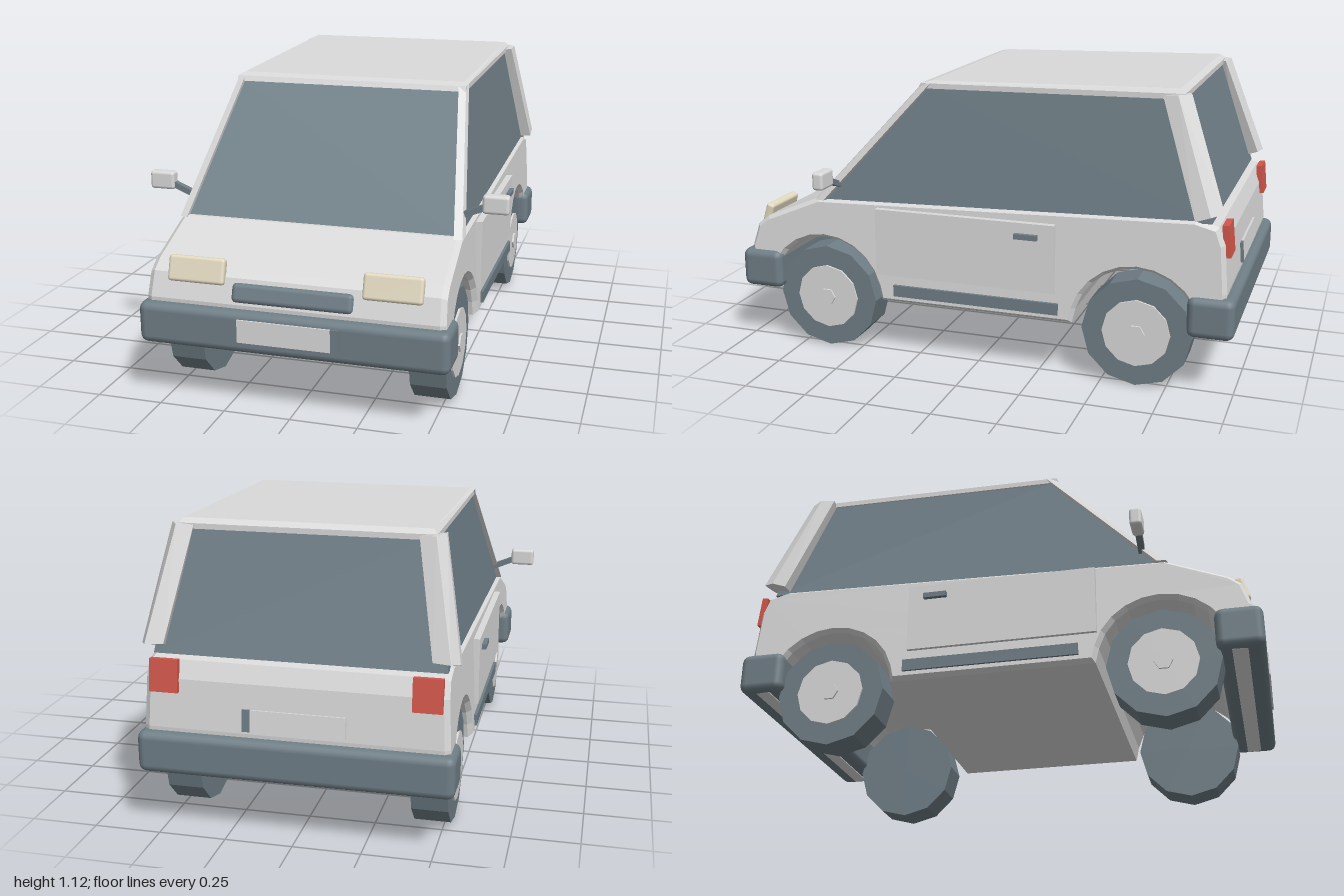
import * as THREE from 'three';
import { RoundedBoxGeometry } from 'three/addons/geometries/RoundedBoxGeometry.js';
import { ConvexGeometry } from 'three/addons/geometries/ConvexGeometry.js';

export function createModel() {
  const car = new THREE.Group();
  car.name = 'hatchback';
  const material = (name, color) => {
    const m = new THREE.MeshStandardMaterial({ color });
    m.name = name;
    return m;
  };
  const paint = material('light grey paint', 0xdadada);
  const dark = material('slate trim and glass', 0x6f7e86);
  const cream = material('cream lamp', 0xe2d9c0);
  const red = material('red lamp', 0xd4584c);

  const add = (name, geo, mat, x = 0, y = 0, z = 0, rx = 0) => {
    const mesh = new THREE.Mesh(geo, mat);
    mesh.name = name;
    mesh.position.set(x, y, z);
    mesh.rotation.x = rx;
    car.add(mesh);
    return mesh;
  };
  const box = (w, h, d) => new THREE.BoxGeometry(w, h, d);
  const soft = (w, h, d, r) => new RoundedBoxGeometry(w, h, d, 2, r);
  const hull = (pts) => new ConvexGeometry(pts.map((p) => new THREE.Vector3(...p)));
  const mirrored = (pts) => pts.flatMap(([x, y, z]) => [[x, y, z], [-x, y, z]]);

  // Lower body: side profile with wheel arches cut through the full width
  const arch = (zc) => {
    const pts = [[zc - 0.245, 0.225]];
    for (let i = 1; i < 12; i++) {
      const a = Math.PI - (i / 12) * Math.PI;
      pts.push([zc + 0.24 * Math.cos(a), 0.22 + 0.24 * Math.sin(a)]);
    }
    pts.push([zc + 0.245, 0.225]);
    return pts;
  };
  const profile = [
    ...arch(-0.635), ...arch(0.635),
    [0.95, 0.23], [0.965, 0.4], [0.935, 0.49], [0.89, 0.525], [0.66, 0.62],
    [-0.84, 0.667], [-0.925, 0.645], [-0.95, 0.58], [-0.965, 0.4], [-0.95, 0.23],
  ];
  const shape = new THREE.Shape(profile.map(([z, y]) => new THREE.Vector2(z, y)));
  const body = new THREE.ExtrudeGeometry(shape, {
    depth: 1.08, bevelEnabled: true, bevelSegments: 1,
    bevelSize: 0.015, bevelThickness: 0.02, bevelOffset: -0.015,
  });
  body.translate(0, 0, -0.54);
  body.rotateY(-Math.PI / 2);
  // Sides lean in gently towards the beltline
  const pos = body.attributes.position;
  for (let i = 0; i < pos.count; i++) {
    pos.setX(i, pos.getX(i) * (1 - 0.08 * (pos.getY(i) - 0.23)));
  }
  body.computeVertexNormals();
  add('body', body, paint);

  // Glasshouse and roof
  add('windows', hull(mirrored([
    [0.53, 0.61, 0.655], [0.53, 0.655, -0.9], [0.455, 1.08, 0.225], [0.455, 1.1, -0.765],
  ])), dark);
  add('roof', hull(mirrored([
    [0.465, 1.07, 0.25], [0.465, 1.085, -0.775], [0.465, 1.09, 0.24], [0.465, 1.105, -0.775],
    [0.45, 1.1, 0.2], [0.45, 1.122, -0.755],
  ])), paint);

  // Bumpers
  for (const s of [1, -1]) {
    add(s > 0 ? 'frontBumper' : 'rearBumper', soft(1.15, 0.157, 0.175, 0.03), dark, 0, 0.3075, s * 0.912);
  }

  // Grille and number plates, each with a dark end strip
  add('grille', soft(0.45, 0.072, 0.04, 0.018), dark, 0, 0.44, 0.945, -0.3);
  add('frontPlate', box(0.345, 0.085, 0.008), paint, -0.0175, 0.3175, 1.001);
  add('frontPlateStrip', box(0.03, 0.085, 0.008), dark, 0.17, 0.3175, 1.001);
  add('rearPlate', box(0.345, 0.08, 0.009), paint, -0.0175, 0.45, -0.965, 0.083);
  add('rearPlateStrip', box(0.03, 0.08, 0.009), dark, 0.17, 0.45, -0.965, 0.083);

  for (const s of [1, -1]) {
    const side = s > 0 ? 'left' : 'right';
    const flip = (pts) => hull(pts.map(([x, y, z]) => [s * x, y, z]));

    // Roof pillars
    add(side + 'FrontPillar', flip([
      [0.515, 0.615, 0.675], [0.545, 0.615, 0.665], [0.55, 0.615, 0.63], [0.515, 0.615, 0.62],
      [0.435, 1.09, 0.24], [0.462, 1.09, 0.23], [0.468, 1.09, 0.2], [0.435, 1.09, 0.19],
    ]), paint);
    add(side + 'RearPillar', flip([
      [0.5, 0.665, -0.84], [0.572, 0.67, -0.845], [0.572, 0.69, -0.9], [0.545, 0.7, -0.945], [0.48, 0.7, -0.93],
      [0.43, 1.09, -0.7], [0.49, 1.1, -0.7], [0.495, 1.105, -0.755], [0.465, 1.105, -0.8], [0.405, 1.1, -0.785],
    ]), paint);

    // Lamps
    add(side + 'Headlight', soft(0.215, 0.095, 0.035, 0.012), cream, s * 0.3625, 0.507, 0.932, -0.3);
    add(side + 'TailLight', box(0.105, 0.12, 0.025), red, s * 0.472, 0.592, -0.953, 0.1);

    // Door, handle and sill strip
    add(side + 'Door', box(0.025, 0.265, 0.725), paint, s * 0.557, 0.4725, 0.0375);
    add(side + 'DoorHandle', box(0.02, 0.02, 0.09), dark, s * 0.577, 0.555, -0.217);
    add(side + 'SillStrip', box(0.025, 0.045, 0.67), dark, s * 0.556, 0.278, -0.005);

    // Door mirror
    add(side + 'Mirror', soft(0.098, 0.07, 0.045, 0.012), paint, s * 0.649, 0.73, 0.575);
    const arm = add(side + 'MirrorArm', box(0.11, 0.022, 0.025), dark, s * 0.565, 0.698, 0.575);
    arm.rotation.z = s * 0.4;

    // Twelve-sided wheels with pale hubs
    for (const [end, z] of [['Front', 0.635], ['Rear', -0.635]]) {
      const disc = (name, r, w, n, mat, x) => {
        let geo = new THREE.CylinderGeometry(r, r, w, n).toNonIndexed();
        geo.computeVertexNormals();
        geo.rotateZ(Math.PI / 2);
        add(side + end + name, geo, mat, s * x, 0.21, z);
      };
      disc('Tyre', 0.21, 0.135, 12, dark, 0.4625);
      disc('Hub', 0.13, 0.02, 12, paint, 0.528);
      disc('HubCap', 0.035, 0.02, 6, paint, 0.536);
    }
  }
  return car;
}
